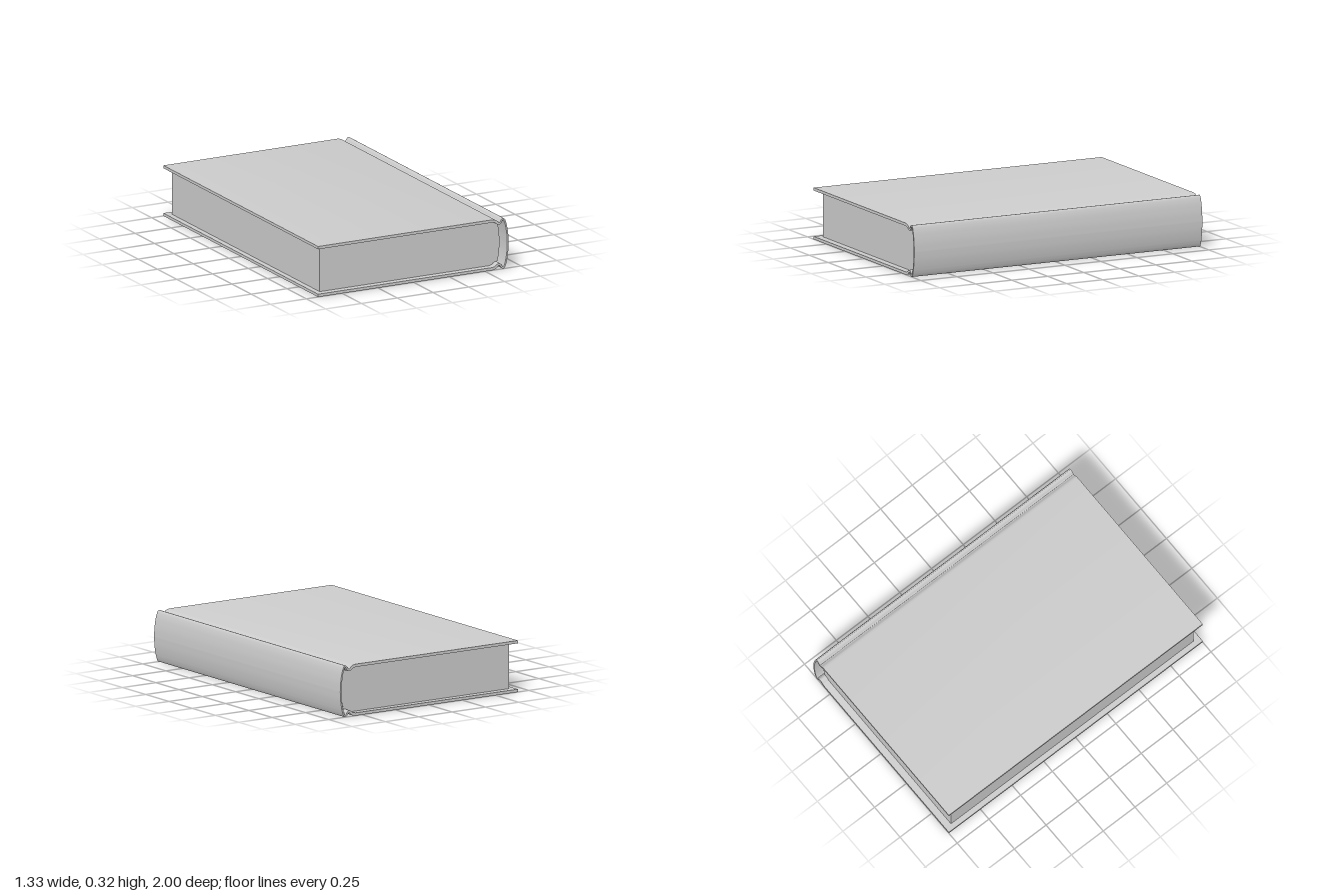
import * as THREE from 'three';
import { toCreasedNormals } from 'three/addons/utils/BufferGeometryUtils.js';

const MID = 0.164; // half the height of the book
const vec = (x, y) => new THREE.Vector2(x, y);
const flip = (p) => vec(p.x, 2 * MID - p.y);

// Mirror an upper half profile below the middle of the book
const mirrored = (half) => [...half, ...half.slice(0, -1).reverse().map(flip)];

function extrudeAlongZ(points, length, name) {
  const flat = new THREE.ExtrudeGeometry(new THREE.Shape(points), { depth: length, bevelEnabled: false });
  flat.translate(0, 0, -length / 2);
  const mesh = new THREE.Mesh(toCreasedNormals(flat, 0.7), new THREE.MeshStandardMaterial({ color: 0xcccccc }));
  mesh.name = name;
  return mesh;
}

export function createModel() {
  const book = new THREE.Group();
  book.name = 'book';

  // Hard cover: centre line of the hinge groove, ridge and rounded spine
  const hinge = new THREE.SplineCurve([
    vec(0.55, 0.317), vec(0.571, 0.312), vec(0.585, 0.3), vec(0.597, 0.294), vec(0.608, 0.3),
    vec(0.617, 0.315), vec(0.627, 0.321), vec(0.636, 0.311), vec(0.647, 0.276), vec(0.656, 0.22), vec(0.659, MID),
  ]).getPoints(60);
  const centre = mirrored([vec(-0.668, 0.317), ...hinge]);

  // Give the centre line a thickness: thick boards, thinner spine
  const outer = [], inner = [];
  centre.forEach((p, i) => {
    const a = centre[Math.max(i - 1, 0)], b = centre[Math.min(i + 1, centre.length - 1)];
    const t = i === 1 || i === centre.length - 2 ? vec(Math.sign(MID < p.y ? 1 : -1), 0) : b.clone().sub(a).normalize();
    const half = THREE.MathUtils.lerp(0.009, 0.005, THREE.MathUtils.smoothstep(p.x, 0.56, 0.63));
    outer.push(vec(p.x - t.y * half, p.y + t.x * half));
    inner.push(vec(p.x + t.y * half, p.y - t.x * half));
  });
  book.add(extrudeAlongZ([...outer, ...inner.reverse()], 2, 'cover'));

  // Page block: tucked under the hinge, with a rounded back
  const back = new THREE.SplineCurve([
    vec(0.609, 0.287), vec(0.617, 0.25), vec(0.622, 0.21), vec(0.624, MID),
  ]).getPoints(12);
  const pages = mirrored([
    vec(-0.633, 0.309), vec(0.555, 0.309), vec(0.572, 0.302), vec(0.584, 0.291), vec(0.597, 0.287), ...back,
  ]);
  book.add(extrudeAlongZ(pages, 1.91, 'pages'));

  return book;
}
